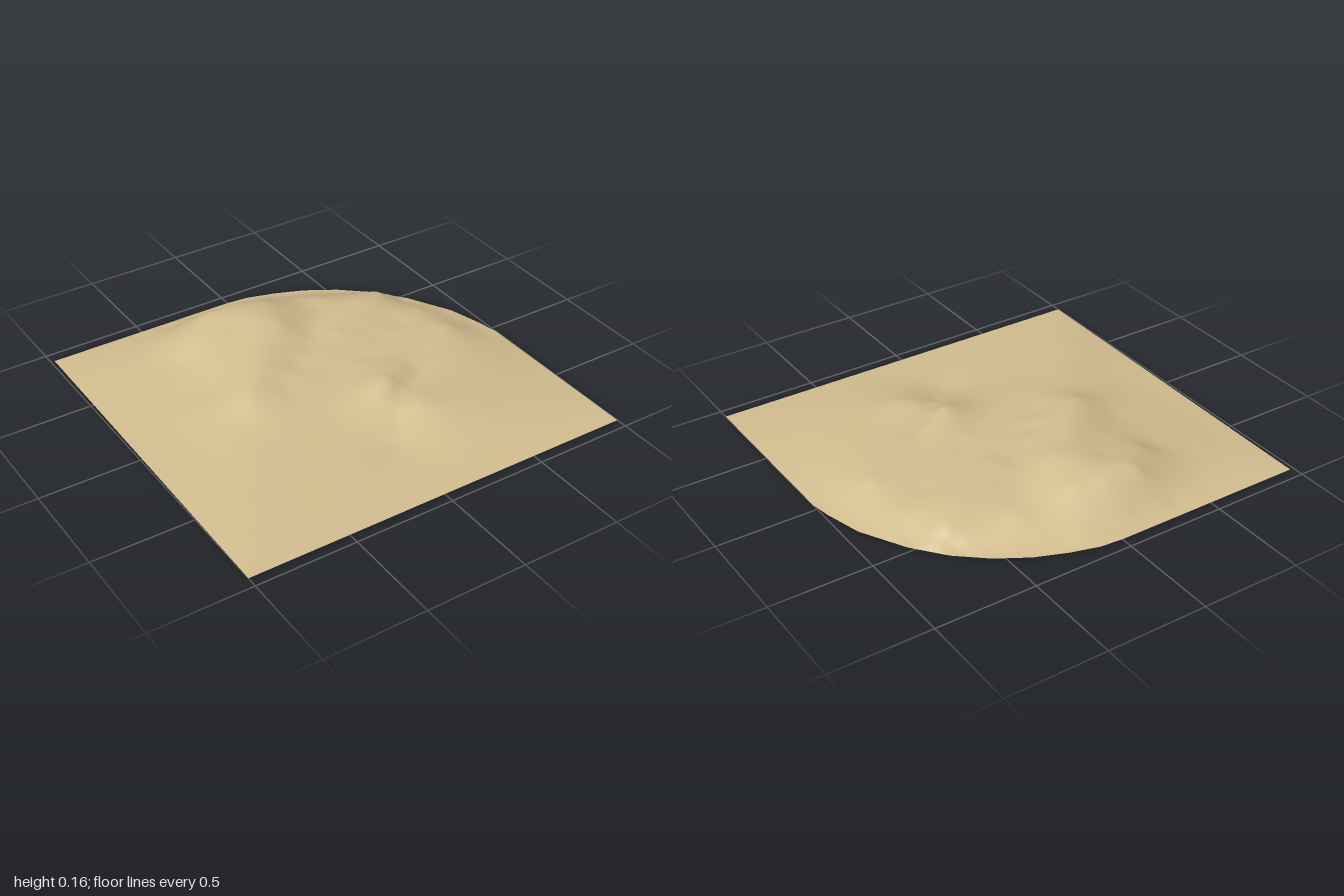
import * as THREE from 'three';

// Right-hand outline as [x, z], from the back edge round the curved corner to the front
const RIGHT = [[0, -0.94], [0.11, -0.93], [0.25, -0.89], [0.4, -0.83], [0.55, -0.74], [0.69, -0.62],
  [0.81, -0.47], [0.93, -0.25], [0.98, -0.07], [1, 0.04], [1, 0.35], [1, 0.65], [1, 0.945]];
const leftX = (z) => -0.99 - 0.01 * z;

// Crest and valley lines as [x, z, height]
const LINES = [
  [[-0.52, -0.5, 0.063], [-0.4, -0.54, 0.12], [-0.25, -0.7, 0.156], [-0.08, -0.71, 0.15]], // back crest
  [[-0.88, 0.77, 0.015], [-0.65, 0.36, 0.045], [-0.5, 0.1, 0.07], [-0.41, -0.04, 0.128],
    [-0.25, -0.19, 0.145], [-0.12, -0.37, 0.155], [0, -0.42, 0.163], [0.06, -0.66, 0.14]], // main crest
  [[-0.1, -0.05, 0.105], [0.23, -0.26, 0.114], [0.5, -0.44, 0.106], [0.64, -0.52, 0.08]], // middle crest
  [[0.05, 0.31, 0.085], [0.18, 0.24, 0.143], [0.42, 0.1, 0.095], [0.74, -0.04, 0.088]], // side crest
  [[0.1, 0.51, 0.045], [0.23, 0.4, 0.097], [0.42, 0.29, 0.078]], // front crest
  [[0.23, 0.4, 0.097], [0.28, 0.47, 0.086], [0.4, 0.62, 0.05]], // front spur
  [[-0.52, -0.2, 0.062], [-0.38, -0.3, 0.1], [-0.2, -0.5, 0.137]], // back valley
  [[-0.22, 0.0, 0.095], [0.04, -0.22, 0.1], [0.2, -0.42, 0.1], [0.34, -0.64, 0.08]], // upper valley
  [[-0.1, 0.15, 0.075], [0.1, 0.06, 0.08], [0.4, -0.12, 0.073], [0.75, -0.28, 0.055]], // middle valley
  [[0, 0.54, 0.018], [0.2, 0.335, 0.078], [0.38, 0.22, 0.077]], // front valley
  [[-0.45, 0.45, 0.038], [-0.2, 0.63, 0.024]], // front slope
  [[0.52, 0.6, 0.045], [0.7, 0.38, 0.045]], // front corner slope
  [[-0.75, -0.6, 0.03], [-0.75, -0.2, 0.03], [-0.75, 0.15, 0.028]], // left slope
  [[-0.7, -0.9, 0.005], [-0.35, -0.895, 0.007], [0, -0.895, 0.007]], // flat back rim
];

// Rows of the surface, each outline span cut into smaller steps
function outlineRows(steps) {
  const rows = [];
  for (let i = 0; i < RIGHT.length - 1; i++) {
    const [a, b] = [RIGHT[i], RIGHT[i + 1]];
    const n = Math.max(1, Math.round((b[1] - a[1]) * steps));
    for (let k = 0; k < n; k++) {
      rows.push([a[0] + (b[0] - a[0]) * k / n, a[1] + (b[1] - a[1]) * k / n]);
    }
  }
  rows.push(RIGHT[RIGHT.length - 1]);
  return rows;
}

// All points of known height: the lines with midpoints, and zero along the edge
function knownPoints() {
  const points = [];
  for (const line of LINES) {
    line.forEach((p, i) => {
      if (!points.some((q) => q[0] === p[0] && q[1] === p[1])) points.push(p);
      if (i) points.push(p.map((v, k) => (v + line[i - 1][k]) / 2));
    });
  }
  for (const [x, z] of RIGHT) points.push([x, z, 0]);
  // Flat rim inside the curved corner
  for (const [x, z] of RIGHT.slice(2, 11)) points.push([x * 0.95, z * 0.95, 0.006]);
  for (let i = 0; i < 10; i++) {
    const z = -0.94 + 1.885 * i / 9;
    points.push([leftX(z), z, 0]);
  }
  for (let i = 1; i < 10; i++) points.push([-1 + 0.2 * i, 0.945, 0]);
  for (let i = 1; i < 8; i++) points.push([-0.98 + 0.1225 * i, -0.94, 0]);
  return points;
}

// Height function passing through all known points (distance-weighted sum)
function makeHeight() {
  const pts = knownPoints();
  const n = pts.length;
  const dist = (x, z, p) => Math.hypot(x - p[0], z - p[1]);
  const m = pts.map((p) => [...pts.map((q) => dist(p[0], p[1], q)), p[2]]);
  for (let c = 0; c < n; c++) {
    let best = c;
    for (let r = c + 1; r < n; r++) if (Math.abs(m[r][c]) > Math.abs(m[best][c])) best = r;
    [m[c], m[best]] = [m[best], m[c]];
    for (let r = 0; r < n; r++) {
      if (r === c) continue;
      const f = m[r][c] / m[c][c];
      for (let k = c; k <= n; k++) m[r][k] -= f * m[c][k];
    }
  }
  const weights = m.map((row, i) => row[n] / row[i]);
  return (x, z) => Math.max(0, pts.reduce((sum, p, i) => sum + weights[i] * dist(x, z, p), 0));
}

function terrainGeometry() {
  const height = makeHeight();
  const rows = outlineRows(32);
  const cols = 64;
  const positions = [];
  const index = [];
  rows.forEach(([right, z], j) => {
    for (let i = 0; i <= cols; i++) {
      const x = leftX(z) + (right - leftX(z)) * i / cols;
      const edge = i === 0 || i === cols || j === 0 || j === rows.length - 1;
      positions.push(x, edge ? 0 : height(x, z), z);
      if (i < cols && j < rows.length - 1) {
        const a = j * (cols + 1) + i;
        const b = a + cols + 1;
        index.push(a, b, a + 1, a + 1, b, b + 1);
      }
    }
  });
  const geometry = new THREE.BufferGeometry();
  geometry.setAttribute('position', new THREE.Float32BufferAttribute(positions, 3));
  geometry.setIndex(index);
  geometry.computeVertexNormals();
  return geometry;
}

export function createModel() {
  const group = new THREE.Group();
  group.name = 'terrain';
  const sand = new THREE.MeshStandardMaterial({ color: 0xd3bd90, side: THREE.DoubleSide });
  sand.name = 'sand';
  const hills = new THREE.Mesh(terrainGeometry(), sand);
  hills.name = 'sandHills';
  group.add(hills);
  return group;
}
